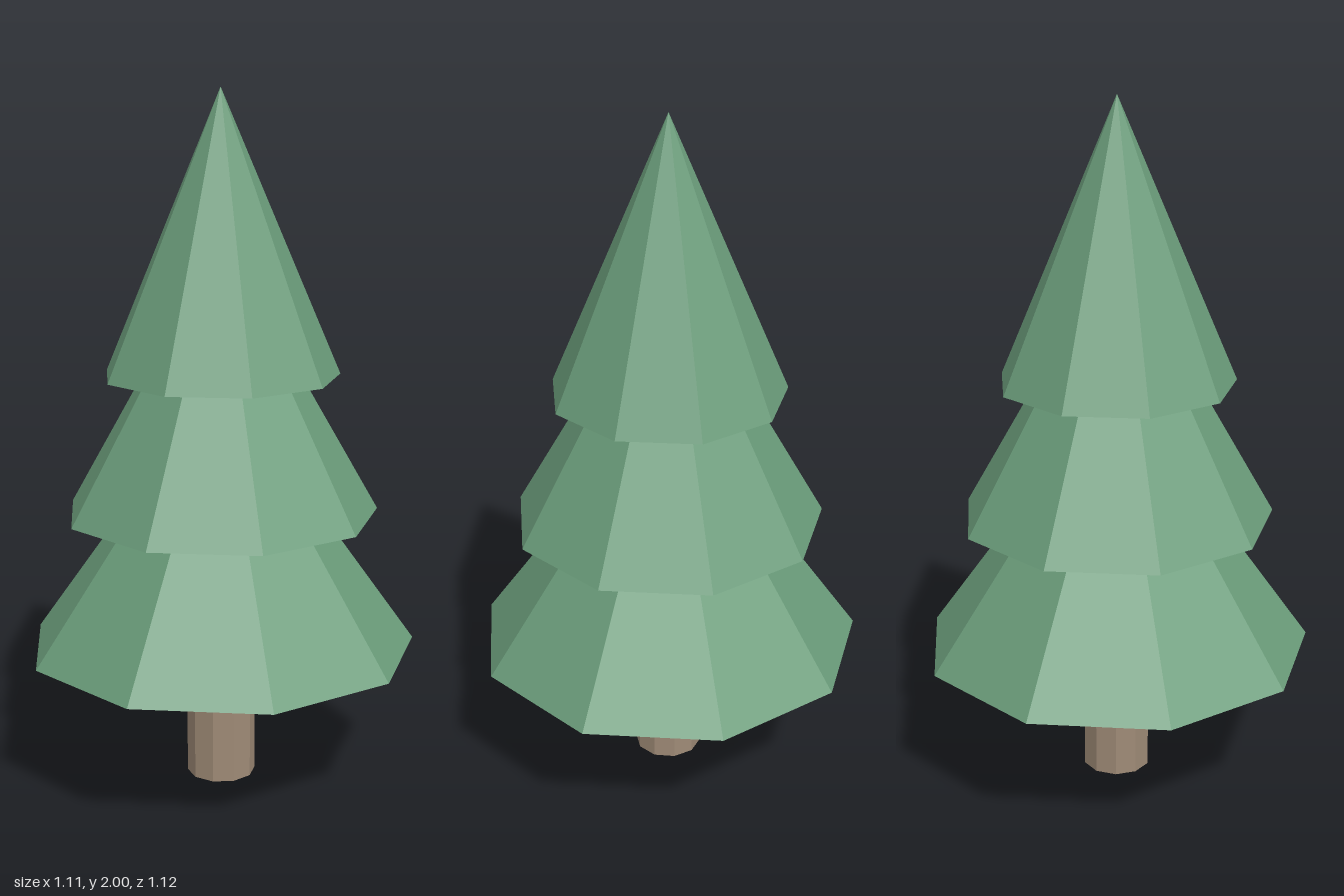
import * as THREE from 'three';

export function createModel() {
  const tree = new THREE.Group();
  tree.name = 'pineTree';
  const needles = new THREE.MeshStandardMaterial({ name: 'needle green', color: 0x6b9d7b, flatShading: true });
  const bark = new THREE.MeshStandardMaterial({ name: 'bark brown', color: 0x9e8a76, flatShading: true });
  const axisX = -0.017; // nine-sided tiers reach further towards +x

  function add(name, geometry, material, y) {
    const mesh = new THREE.Mesh(geometry, material);
    mesh.name = name;
    mesh.position.set(axisX, y, 0);
    tree.add(mesh);
  }

  // Ten-sided trunk
  add('trunk', new THREE.CylinderGeometry(0.1, 0.1, 0.4, 10, 1, false, Math.PI / 2), bark, 0.2);

  // Three overlapping cones, each with a corner at +x
  const tiers = [
    ['lowerFoliage', 0.57, 0.4],
    ['middleFoliage', 0.456, 0.8],
    ['upperFoliage', 0.342, 1.2],
  ];
  const height = 0.8;
  for (const [name, radius, base] of tiers) {
    add(name, new THREE.ConeGeometry(radius, height, 9, 1, false, Math.PI / 2), needles, base + height / 2);
  }
  return tree;
}
